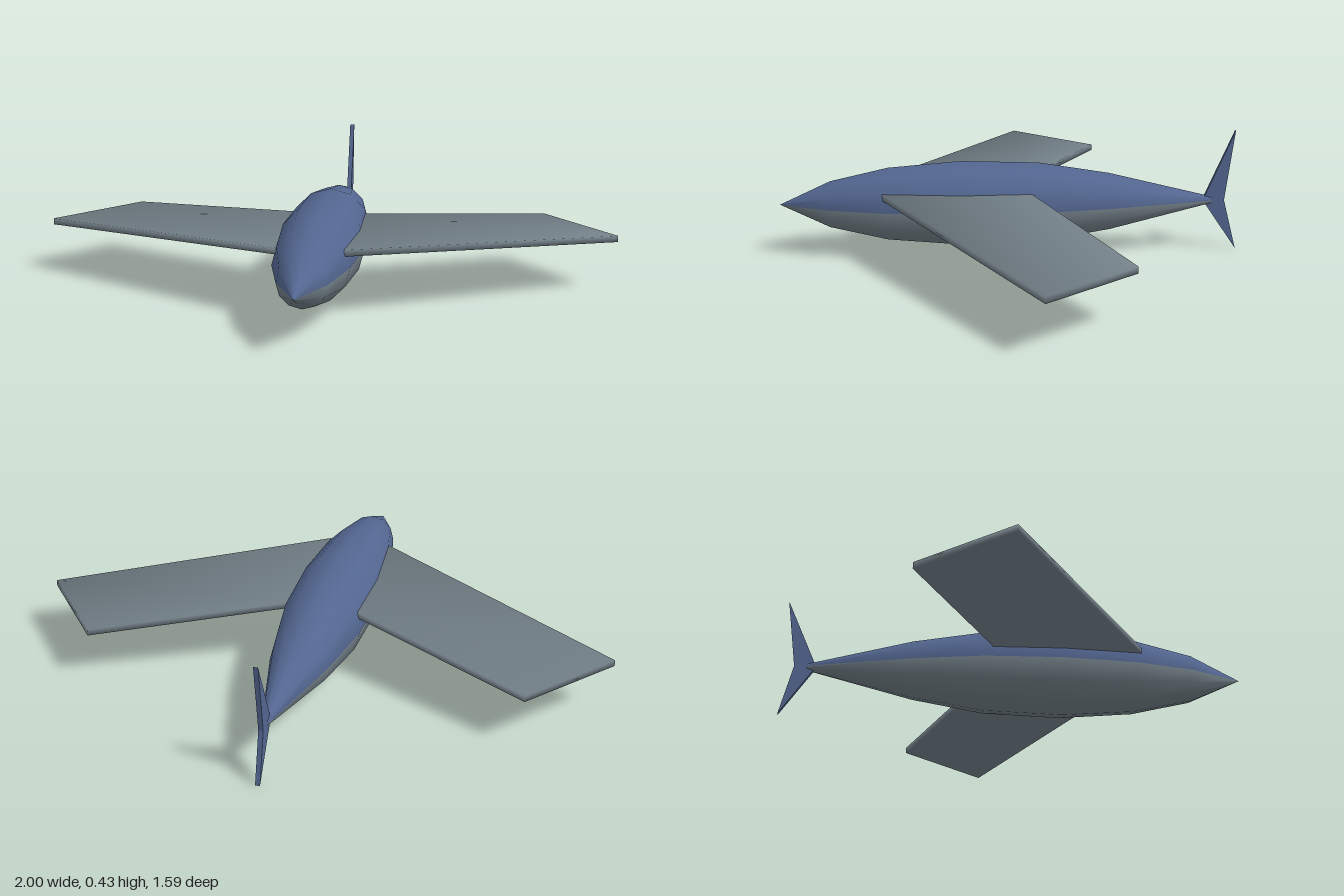
import * as THREE from 'three';

const blue = new THREE.MeshStandardMaterial({ name: 'slate blue', color: 0x536690 });
const grey = new THREE.MeshStandardMaterial({ name: 'steel grey', color: 0x727f87, side: THREE.DoubleSide });
const AXIS_Y = 0.177;

function add(parent, name, geometry, material) {
  const mesh = new THREE.Mesh(geometry, material);
  mesh.name = name;
  parent.add(mesh);
  return mesh;
}

// Half of the spindle body, six sides around the long axis
function halfBody(phiStart) {
  const profile = [
    [0, -0.712], [0.012, -0.705], [0.101, -0.345], [0.141, -0.1], [0.149, 0.17],
    [0.128, 0.42], [0.082, 0.62], [0, 0.795],
  ].map(([r, z]) => new THREE.Vector2(r, z));
  const geometry = new THREE.LatheGeometry(profile, 6, phiStart, Math.PI);
  geometry.rotateX(Math.PI / 2);
  geometry.translate(0, AXIS_Y, 0);
  return geometry;
}

// Thin swept slab with softened edges; side is +1 for left, -1 for right
function wing(side) {
  // plan corners x, y, z: root front, tip front, tip back, root back
  const corners = [[0.11, 0.229, 0.437], [1, 0.178, -0.06], [0.75, 0.179, -0.357], [0.11, 0.229, -0.065]];
  const tilt = [[-0.2, 0.7], [0.5, 0.5], [0.1, -0.7], [-0.2, -0.7]];
  const positions = [], normals = [];
  for (const up of [1, -1]) {
    corners.forEach(([x, y, z], i) => {
      positions.push(side * x, y + up * 0.011, z);
      const n = new THREE.Vector3(side * tilt[i][0], up, tilt[i][1]).normalize();
      normals.push(n.x, n.y, n.z);
    });
  }
  const index = [0, 1, 3, 1, 2, 3, 4, 7, 5, 5, 7, 6]; // top and underside
  for (let i = 0; i < 4; i++) {
    const j = (i + 1) % 4;
    index.push(i, i + 4, j, j, i + 4, j + 4); // edges
  }
  if (side < 0) {
    for (let i = 0; i < index.length; i += 3) [index[i + 1], index[i + 2]] = [index[i + 2], index[i + 1]];
  }
  const geometry = new THREE.BufferGeometry();
  geometry.setAttribute('position', new THREE.Float32BufferAttribute(positions, 3));
  geometry.setAttribute('normal', new THREE.Float32BufferAttribute(normals, 3));
  geometry.setIndex(index);
  return geometry;
}

// Upright fin outlined in (z, y)
function fin(outline) {
  const shape = new THREE.Shape(outline.map(([z, y]) => new THREE.Vector2(-z, y)));
  const geometry = new THREE.ExtrudeGeometry(shape, { depth: 0.016, bevelEnabled: false });
  geometry.translate(0, 0, -0.008);
  geometry.rotateY(Math.PI / 2);
  return geometry;
}

export function createModel() {
  const model = new THREE.Group();
  model.name = 'glider';

  add(model, 'upperBody', halfBody(Math.PI / 2), blue);
  add(model, 'belly', halfBody(-Math.PI / 2), grey);

  add(model, 'leftWing', wing(1), grey);
  add(model, 'rightWing', wing(-1), grey);

  // Forked tail
  add(model, 'upperTailFin', fin([[-0.675, AXIS_Y], [-0.75, AXIS_Y], [-0.782, 0.425]]), blue);
  add(model, 'lowerTailFin', fin([[-0.675, AXIS_Y], [-0.795, 0], [-0.75, AXIS_Y]]), blue);

  return model;
}
